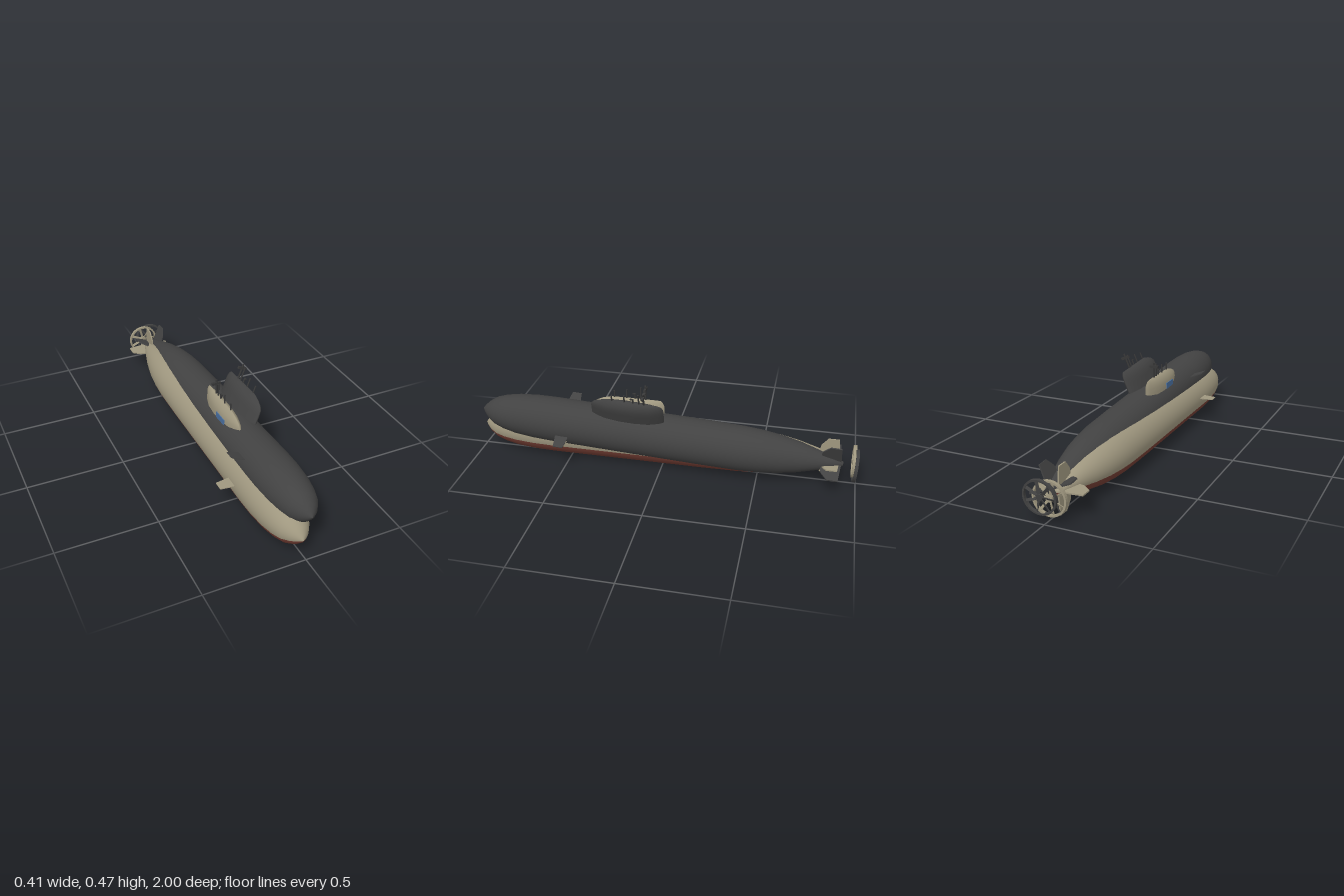
import * as THREE from 'three';

const mat = (name, color) => {
  const m = new THREE.MeshStandardMaterial({ color });
  m.name = name;
  return m;
};

export function createModel() {
  const beige = mat('beige paint', 0x9f977f);
  const dark = mat('dark grey paint', 0x424242);
  const red = mat('red bottom paint', 0x733d33);
  const blue = mat('blue panel', 0x4a70a0);
  const mastGrey = mat('mast grey', 0x383838);

  const add = (parent, name, geometry, material, x = 0, y = 0, z = 0) => {
    const mesh = new THREE.Mesh(geometry, material);
    mesh.name = name;
    mesh.position.set(x, y, z);
    parent.add(mesh);
    return mesh;
  };

  // Hull outline: [z, radius] from tail to nose
  const profile = [[-0.92, 0], [-0.918, 0.012], [-0.88, 0.025], [-0.8, 0.05], [-0.7, 0.078], [-0.6, 0.098],
    [-0.5, 0.11], [-0.4, 0.116], [-0.2, 0.118], [0.6, 0.118], [0.7, 0.115], [0.8, 0.106],
    [0.87, 0.092], [0.92, 0.075], [0.96, 0.048], [0.985, 0.022], [1, 0]]
    .map(([z, r]) => new THREE.Vector2(r, z));
  // Sector of the hull, angles counted from the keel
  const hullSector = (start, length) =>
    new THREE.LatheGeometry(profile, 48, start, length).rotateX(Math.PI / 2);

  // Flat fin from (span, z) corners
  const finGeometry = (corners, thickness) => {
    const shape = new THREE.Shape(corners.map(([x, z]) => new THREE.Vector2(x, z)));
    return new THREE.ExtrudeGeometry(shape, { depth: thickness, bevelEnabled: false })
      .translate(0, 0, -thickness / 2).rotateX(Math.PI / 2);
  };
  const tailFin = finGeometry([[0.01, -0.91], [0.115, -0.9], [0.115, -0.845], [0.075, -0.812], [0.01, -0.8]], 0.007);
  const bowPlane = finGeometry([[0.09, 0.485], [0.187, 0.5], [0.187, 0.55], [0.09, 0.562]], 0.004);

  // Sail lofted from lens-shaped rings: [y, width scale, z back, z front]
  const sailGeometry = () => {
    const levels = [[0.08, 1, 0, 0.378], [0.165, 1, 0, 0.378], [0.19, 0.92, 0, 0.376], [0.207, 0.78, 0.002, 0.36],
      [0.221, 0.55, 0.008, 0.33], [0.23, 0.3, 0.015, 0.3], [0.234, 0.08, 0.02, 0.28]];
    const half = [[0, 0.1], [0.06, 0.45], [0.2, 0.85], [0.4, 1], [0.6, 1], [0.8, 0.82], [0.93, 0.45], [1, 0.1]];
    const ring = [...half, ...half.slice().reverse().map(([u, w]) => [u, -w])];
    const n = ring.length, pos = [], idx = [];
    for (const [y, s, back, front] of levels)
      for (const [u, w] of ring) pos.push(w * s * 0.036, y, back + (front - back) * u);
    for (let l = 0; l < levels.length - 1; l++)
      for (let i = 0; i < n; i++) {
        const a = l * n + i, b = l * n + (i + 1) % n;
        idx.push(a, a + n, b, b, a + n, b + n);
      }
    const top = (levels.length - 1) * n;
    pos.push(0, 0.235, 0.15);
    for (let i = 0; i < n; i++) idx.push(top + n, top + (i + 1) % n, top + i);
    const g = new THREE.BufferGeometry();
    g.setAttribute('position', new THREE.Float32BufferAttribute(pos, 3));
    g.setIndex(idx);
    g.computeVertexNormals();
    return g;
  };

  const makeSubmarine = (name, paint) => {
    const sub = new THREE.Group();
    sub.name = name;

    add(sub, 'sail', sailGeometry(), paint);

    // Bow planes on both sides, tail fins in a cross
    for (const side of [0, 1])
      add(sub, 'bowPlane', bowPlane, paint, 0, 0.014, 0).rotation.z = side * Math.PI;
    for (let i = 0; i < 4; i++)
      add(sub, 'tailFin', tailFin, paint).rotation.z = i * Math.PI / 2;

    // Masts: [z, top, radius]
    for (const [z, top, r] of [[0.265, 0.27, 0.004], [0.2, 0.28, 0.004], [0.155, 0.262, 0.004],
      [0.125, 0.3, 0.004], [0.1, 0.312, 0.005]])
      add(sub, 'mast', new THREE.CylinderGeometry(r, r, top - 0.2, 10), mastGrey, 0, (top + 0.2) / 2, z);
    add(sub, 'mastCrossbar', new THREE.BoxGeometry(0.046, 0.013, 0.012), mastGrey, 0, 0.291, 0.1);
    add(sub, 'mastHook', new THREE.BoxGeometry(0.006, 0.006, 0.016), mastGrey, 0, 0.26, 0.161);

    // Ringed propeller standing clear of the tail
    const propeller = new THREE.Group();
    propeller.name = 'propeller';
    propeller.position.z = -0.981;
    const section = [[0.074, -0.008], [0.083, -0.008], [0.083, 0.008], [0.074, 0.008], [0.074, -0.008]]
      .map(([r, z]) => new THREE.Vector2(r, z));
    const ring = new THREE.LatheGeometry(section, 40).toNonIndexed().rotateX(Math.PI / 2);
    ring.computeVertexNormals();
    add(propeller, 'propellerRing', ring, paint);
    add(propeller, 'propellerHub', new THREE.CylinderGeometry(0.016, 0.016, 0.016, 20).rotateX(Math.PI / 2), paint);
    for (let i = 0; i < 7; i++) {
      const blade = new THREE.BoxGeometry(0.066, 0.014, 0.003).rotateX(0.5).translate(0.044, 0, 0);
      add(propeller, 'propellerBlade', blade, paint).rotation.z = i * Math.PI * 2 / 7;
    }
    sub.add(propeller);
    return sub;
  };

  const model = new THREE.Group();
  model.name = 'submarinePair';

  // Upright submarine with a red bottom
  const upright = makeSubmarine('uprightSubmarine', beige);
  const split = 71 * Math.PI / 180;
  add(upright, 'lowerHull', hullSector(-split, 2 * split), red);
  add(upright, 'upperHull', hullSector(split, 2 * (Math.PI - split)), beige);
  add(upright, 'sidePanel', new THREE.BoxGeometry(0.004, 0.036, 0.085), blue, -0.0365, 0.165, 0.225);
  upright.position.set(-0.02, 0.118, 0);

  // Dark submarine, rolled and pitched nose-up
  const rolled = makeSubmarine('rolledSubmarine', dark);
  add(rolled, 'hull', hullSector(0, Math.PI * 2), dark);
  rolled.position.set(0.023, 0.172, -0.01);
  rolled.rotation.set(-0.054, 0, -22.5 * Math.PI / 180);

  model.add(upright, rolled);
  return model;
}
